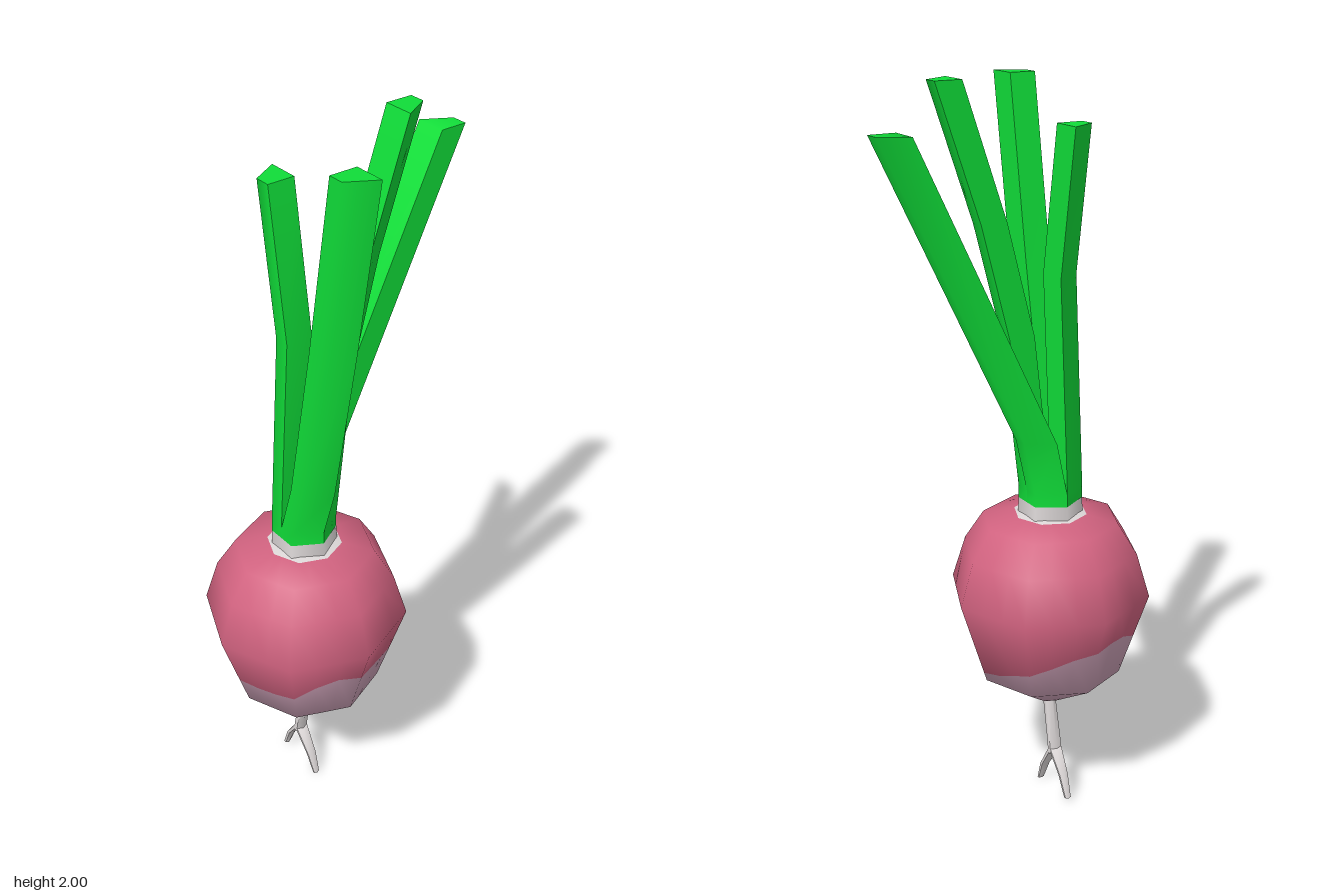
import * as THREE from 'three';
import { toCreasedNormals } from 'three/addons/utils/BufferGeometryUtils.js';

const CX = -0.012, CZ = 0.114; // vertical axis of the bulb
const mat = (name, color) => {
  const m = new THREE.MeshStandardMaterial({ color });
  m.name = name;
  return m;
};

// Closed skin over rings listed from bottom to top, each ring turning from +x to +z
function loft(rings, crease) {
  const n = rings[0].length, pos = rings.flat(2), idx = [];
  for (let r = 0; r < rings.length - 1; r++)
    for (let i = 0; i < n; i++) {
      const a = r * n + i, b = r * n + (i + 1) % n;
      idx.push(a, a + n, b, b, a + n, b + n);
    }
  const t = (rings.length - 1) * n;
  for (let i = 1; i < n - 1; i++) idx.push(0, i, i + 1, t, t + i + 1, t + i);
  const g = new THREE.BufferGeometry();
  g.setAttribute('position', new THREE.Float32BufferAttribute(pos, 3));
  g.setIndex(idx);
  return toCreasedNormals(g, crease);
}

// Bulb outline: height, radius, tilt of the normal
const PROFILE = [
  [0.295, 0.045, -1.25], [0.395, 0.2, -0.75], [0.635, 0.277, 0.0],
  [0.755, 0.24, 0.5], [0.838, 0.187, 0.95], [0.857, 0.1, 1.35], [0.866, 0.03, 1.5],
];
function profileAt(y) {
  let i = 0;
  while (i < PROFILE.length - 2 && y > PROFILE[i + 1][0]) i++;
  const [y0, r0, t0] = PROFILE[i], [y1, r1, t1] = PROFILE[i + 1];
  const k = (y - y0) / (y1 - y0);
  return [r0 + (r1 - r0) * k, t0 + (t1 - t0) * k];
}

// Height of the pale underside's edge every 15 degrees, from front towards +x
const EDGE = [
  0.48, 0.475, 0.48, 0.495, 0.53, 0.55, 0.54, 0.525, 0.51, 0.5, 0.46, 0.43,
  0.42, 0.43, 0.45, 0.47, 0.49, 0.515, 0.535, 0.54, 0.535, 0.51, 0.48, 0.475,
];

// Band of the eight-sided bulb with smooth normals; a level is a height or 'edge'
function bulbBand(levels) {
  const n = EDGE.length, pos = [], nor = [], idx = [], eighth = Math.PI / 4;
  for (const level of levels)
    for (let i = 0; i <= n; i++) {
      const a = (i / n) * Math.PI * 2, y = level === 'edge' ? EDGE[i % n] : level;
      const [r, tilt] = profileAt(y);
      const flat = Math.cos(eighth / 2) / Math.cos((i % 3) * eighth / 3 - eighth / 2);
      pos.push(CX + Math.sin(a) * r * flat, y, CZ + Math.cos(a) * r * flat);
      nor.push(Math.sin(a) * Math.cos(tilt), Math.sin(tilt), Math.cos(a) * Math.cos(tilt));
    }
  for (let r = 0; r < levels.length - 1; r++)
    for (let i = 0; i < n; i++) {
      const a = r * (n + 1) + i, b = a + n + 1;
      idx.push(a, a + 1, b, a + 1, b + 1, b);
    }
  const g = new THREE.BufferGeometry();
  g.setAttribute('position', new THREE.Float32BufferAttribute(pos, 3));
  g.setAttribute('normal', new THREE.Float32BufferAttribute(nor, 3));
  g.setIndex(idx);
  return g;
}

// Stalk: a quarter of a hexagon swept along [x, y, z] points of its inner corner
function stalk(path, sx, sz) {
  const R = 0.085, h = R * 0.866;
  const section = [[0, 0], [R, 0], [R / 2, h], [0, h]].map(([x, z]) => [x * sx, z * sz]);
  if (sx * sz < 0) section.reverse();
  return loft(path.map(([x, y, z]) => section.map(([u, v]) => [x + u, y, z + v])), 1.15);
}

// Root: six-sided taper through [x, y, half width, half depth]
function root(path) {
  return loft(path.map(([x, y, w, d]) => Array.from({ length: 6 }, (_, i) => {
    const a = (i / 6) * Math.PI * 2;
    return [x + Math.cos(a) * w, y, CZ + Math.sin(a) * d];
  })), 1.15);
}

export function createModel() {
  const model = new THREE.Group();
  model.name = 'rootVegetable';
  const skin = mat('pinkSkin', 0xd0627f);
  const pale = mat('paleMauve', 0xd0a4ba);
  const white = mat('offWhite', 0xdcd7d7);
  const green = mat('leafGreen', 0x10dc38);
  const add = (name, geometry, material) => {
    const mesh = new THREE.Mesh(geometry, material);
    mesh.name = name;
    model.add(mesh);
    return mesh;
  };

  // Bulb
  add('bulbUnderside', bulbBand([0.295, 0.395, 'edge']), pale);
  add('bulbSkin', bulbBand(['edge', 0.635, 0.755, 0.838, 0.857]), skin);
  add('bulbCrown', bulbBand([0.857, 0.866]), white);

  // Neck under the stalks
  const neck = new THREE.CylinderGeometry(0.085, 0.088, 0.05, 6);
  neck.rotateY(Math.PI / 6);
  add('neck', neck, white).position.set(CX, 0.872, CZ);

  // Four stalks, one for each quarter of the neck
  const base = [[CX, 0.895, CZ], [CX, 0.93, CZ]];
  add('stalkFrontLeft', stalk([...base, [0.035, 1.08, CZ], [0.12, 1.52, CZ], [0.2, 1.985, CZ]], 1, 1), green);
  add('stalkBackLeft', stalk([...base, [CX, 1.35, 0.062], [CX, 1.65, -0.018], [CX, 2, -0.14]], 1, -1), green);
  add('stalkBackRight', stalk([...base, [CX, 1.08, 0.08], [CX, 1.89, -0.315]], -1, -1), green);
  add('stalkFrontRight', stalk([...base, [0.033, 1.5, CZ], [-0.025, 1.885, CZ]], -1, 1), green);

  // Forked root
  add('mainRoot', root([[-0.05, 0.125, 0.014, 0.021], [-0.045, 0.16, 0.012, 0.021],
    [-0.012, 0.31, 0.018, 0.017]]), white);
  add('rootForkRight', root([[-0.12, 0.012, 0.008, 0.01], [-0.095, 0.075, 0.009, 0.015],
    [-0.05, 0.14, 0.011, 0.021]]), white);
  add('rootForkLeft', root([[0.025, 0, 0.006, 0.01], [0.002, 0.06, 0.009, 0.015],
    [-0.05, 0.14, 0.011, 0.021]]), white);
  return model;
}
